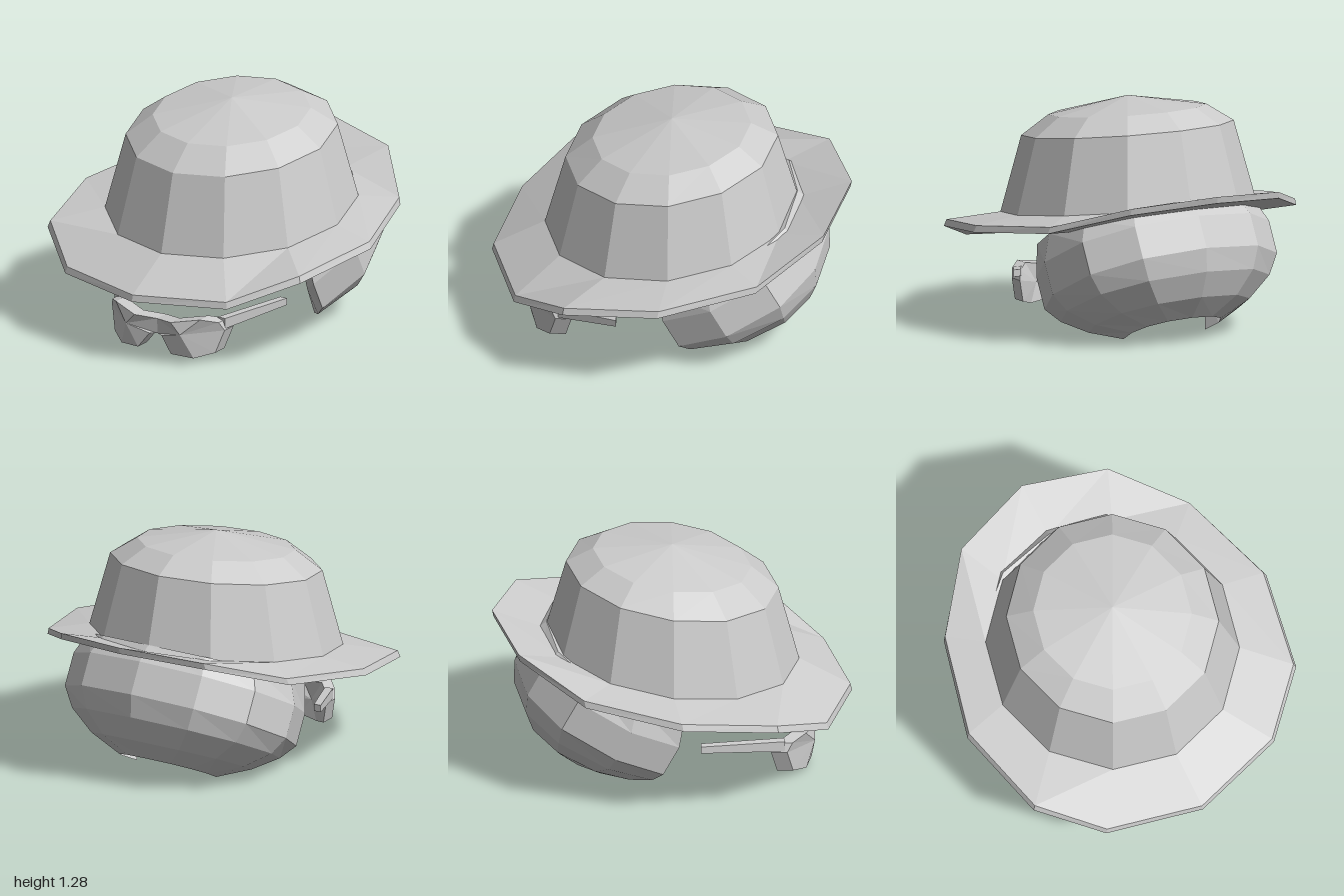
import * as THREE from 'three';

const material = new THREE.MeshStandardMaterial({ color: 0xcccccc, flatShading: true });

// Skins a list of closed point loops; cap closes both ends with a fan from the last point
function loft(name, rings, cap = false) {
  const pos = [];
  const tri = (a, b, c) => {
    const [A, B, C] = [a, b, c].map((p) => new THREE.Vector3(...p));
    if (B.sub(A).cross(C.sub(A)).length() > 1e-7) pos.push(...a, ...b, ...c);
  };
  const n = rings[0].length;
  for (let i = 0; i + 1 < rings.length; i++) {
    for (let j = 0; j < n; j++) {
      const k = (j + 1) % n;
      tri(rings[i][j], rings[i][k], rings[i + 1][k]);
      tri(rings[i][j], rings[i + 1][k], rings[i + 1][j]);
    }
  }
  if (cap) {
    const first = rings[0], last = rings[rings.length - 1];
    for (let j = 0; j < n - 2; j++) {
      tri(first[n - 1], first[j + 1], first[j]);
      tri(last[n - 1], last[j], last[j + 1]);
    }
  }
  const geometry = new THREE.BufferGeometry();
  geometry.setAttribute('position', new THREE.Float32BufferAttribute(pos, 3));
  geometry.computeVertexNormals();
  const mesh = new THREE.Mesh(geometry, material);
  mesh.name = name;
  return mesh;
}

const mirror = (rings) => rings.map((r) => r.map(([x, y, z]) => [-x, y, z]).reverse());
const pointRing = (p, n) => Array.from({ length: n }, () => p);

// Twelve-sided ring, sloping up towards the back
const hatRing = (radius, y, slope) => Array.from({ length: 12 }, (_, k) => {
  const t = (k * Math.PI) / 6;
  const z = radius * Math.cos(t);
  return [radius * Math.sin(t), y - slope * z, z];
});

function createHat() {
  const hat = new THREE.Group();
  hat.name = 'hat';
  const base = hatRing(0.705, 0.67, 0.142);

  // Brim edge from front to back, then mirrored; the rim flares slightly downwards
  const half = [
    [0, 0.41, 0.99], [0.53, 0.43, 0.85], [0.83, 0.56, 0.57], [0.945, 0.63, 0.04],
    [0.785, 0.7, -0.5], [0.47, 0.835, -0.86], [0, 0.88, -1],
  ];
  const edge = [...half, ...half.slice(1, 6).reverse().map(([x, y, z]) => [-x, y, z])];
  const lower = edge.map(([x, y, z]) => [x * 1.015, y - 0.038, z + 0.008]);
  hat.add(loft('brim', [pointRing([0, 0.525, 0], 12), lower, edge, base]));

  // Tapered crown with a shallow domed top
  hat.add(loft('crown', [
    base,
    hatRing(0.59, 1.095, 0.145),
    hatRing(0.44, 1.2, 0.135),
    pointRing([0, 1.28, 0], 12),
  ]));
  return hat;
}

// Horseshoe of hair round the back of the head, tipped up at the rear, ends curling in
function createHair() {
  const section = [ // radius, height in the tipped frame, end angle in degrees, rise to the front
    [0.28, -0.21, 112, 0.01], [0.46, -0.14, 124, 0.025], [0.6, -0.03, 126, 0.02], [0.67, 0.09, 124, 0],
    [0.67, 0.28, 124, 0], [0.62, 0.385, 120, 0.045], [0.52, 0.39, 120, 0.045], [0.5, 0.12, 124, 0],
  ];
  const soften = (c) => Math.sign(c) * Math.abs(c) ** 0.9;
  const segments = 8;
  const rings = [];
  for (let i = 0; i <= segments; i++) {
    rings.push(section.map(([r, v, end, rise]) => {
      const t = THREE.MathUtils.degToRad(end) * ((2 * i) / segments - 1);
      const back = 0.46 + 0.87 * r * soften(Math.cos(t));
      const up = v + rise * (1 - Math.cos(t));
      return [r * soften(Math.sin(t)), back * 0.47 + up * 0.88, -back * 0.88 + up * 0.47];
    }));
  }
  return loft('hair', rings, true);
}

function createGlasses() {
  const glasses = new THREE.Group();
  glasses.name = 'glasses';

  // Half frame from the bridge outwards, curved back towards the temple
  const outline = [
    [0, 0.11], [0.04, 0.11], [0.11, 0.02], [0.24, 0.01], [0.335, 0.04],
    [0.375, 0.17], [0.355, 0.22], [0.28, 0.243], [0.12, 0.213], [0, 0.2],
  ];
  const wrap = (x, y) => 0.785 - 2.6 * (x - 0.13) ** 2 + 0.1 * (y - 0.13);
  const layer = (dz) => outline.map(([x, y]) => [x, y, wrap(x, y) + dz]);
  const lens = [
    pointRing([0.19, 0.12, 0.68], outline.length),
    layer(-0.09),
    layer(0),
    pointRing([0.18, 0.15, 0.79], outline.length),
  ];

  // Arms spread outwards and rise towards the ears; the left one is shorter
  const armEnd = (x, y, z, w, h) => [[x + w, y - h, z], [x - w, y - h, z], [x - w, y + h, z], [x + w, y + h, z]];
  const arm = (x, y, z) => [armEnd(0.345, 0.205, 0.62, 0.025, 0.03), armEnd(x, y, z, 0.022, 0.02)];

  glasses.add(
    loft('leftLens', lens), loft('rightLens', mirror(lens)),
    loft('leftArm', arm(0.54, 0.275, 0.29), true),
    loft('rightArm', mirror(arm(0.57, 0.295, 0.15)), true),
  );
  return glasses;
}

export function createModel() {
  const model = new THREE.Group();
  model.name = 'hatHairAndGlasses';
  model.add(createHat(), createHair(), createGlasses());
  return model;
}
